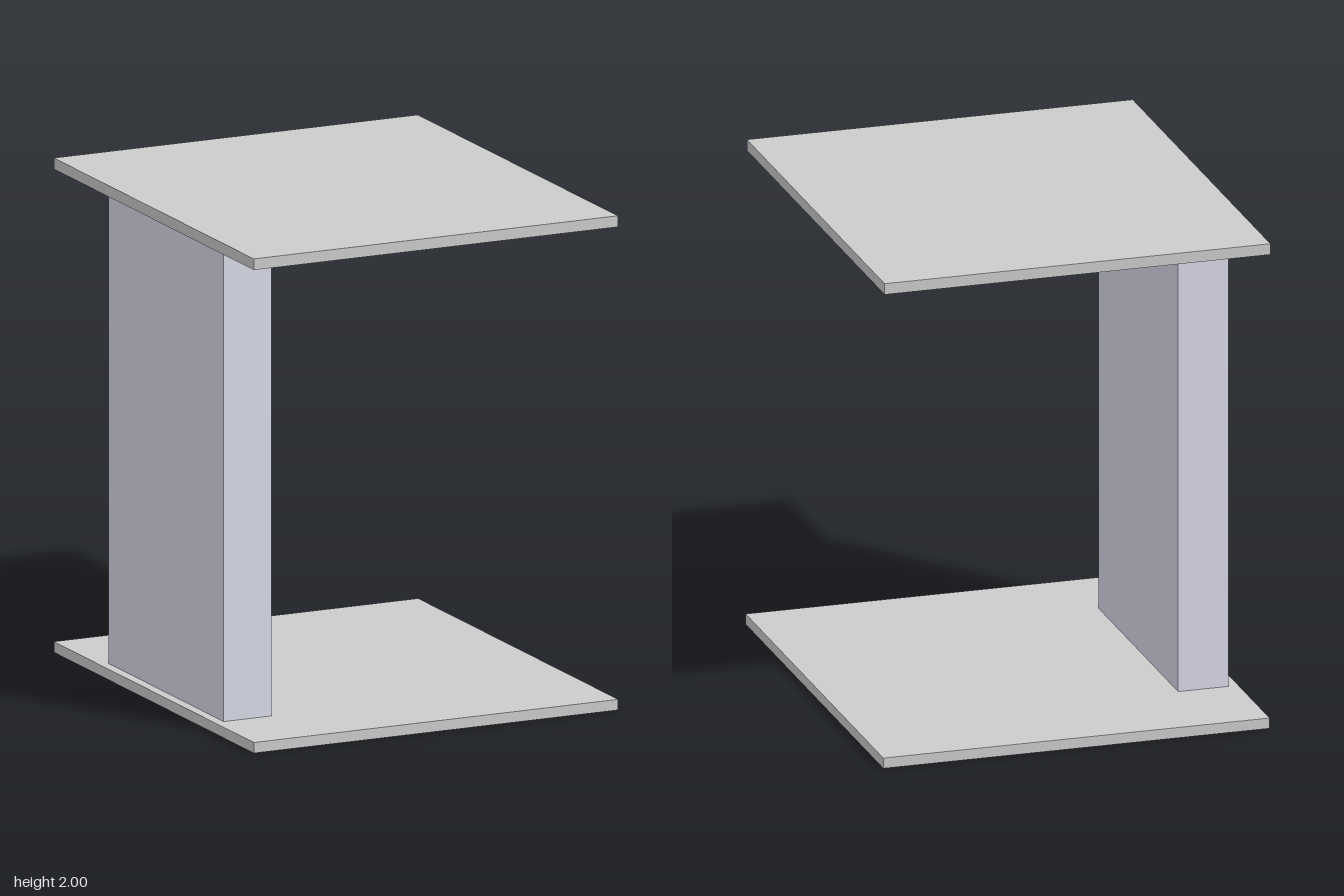
import * as THREE from 'three';

// Box given by its [min, max] extent along each axis
function slab(name, [x0, x1], [y0, y1], [z0, z1], color) {
  const mesh = new THREE.Mesh(
    new THREE.BoxGeometry(x1 - x0, y1 - y0, z1 - z0),
    new THREE.MeshStandardMaterial({ color })
  );
  mesh.position.set((x0 + x1) / 2, (y0 + y1) / 2, (z0 + z1) / 2);
  mesh.name = name;
  return mesh;
}

export function createModel() {
  const group = new THREE.Group();
  group.name = 'sideTable';
  const grey = 0xcccccc;
  const paleBlue = 0xd8dae8;

  group.add(
    // Floor plate
    slab('basePlate', [-0.787, 0.797], [0, 0.043], [-0.907, 0.888], grey),
    // Upright panel near the right edge, stopping just below the top
    slab('uprightPanel', [-0.747, -0.54], [0.043, 1.945], [-0.5, 0.535], paleBlue),
    // Top, shifted slightly from the base
    slab('tableTop', [-0.797, 0.785], [1.955, 2], [-0.886, 0.909], grey)
  );
  return group;
}
